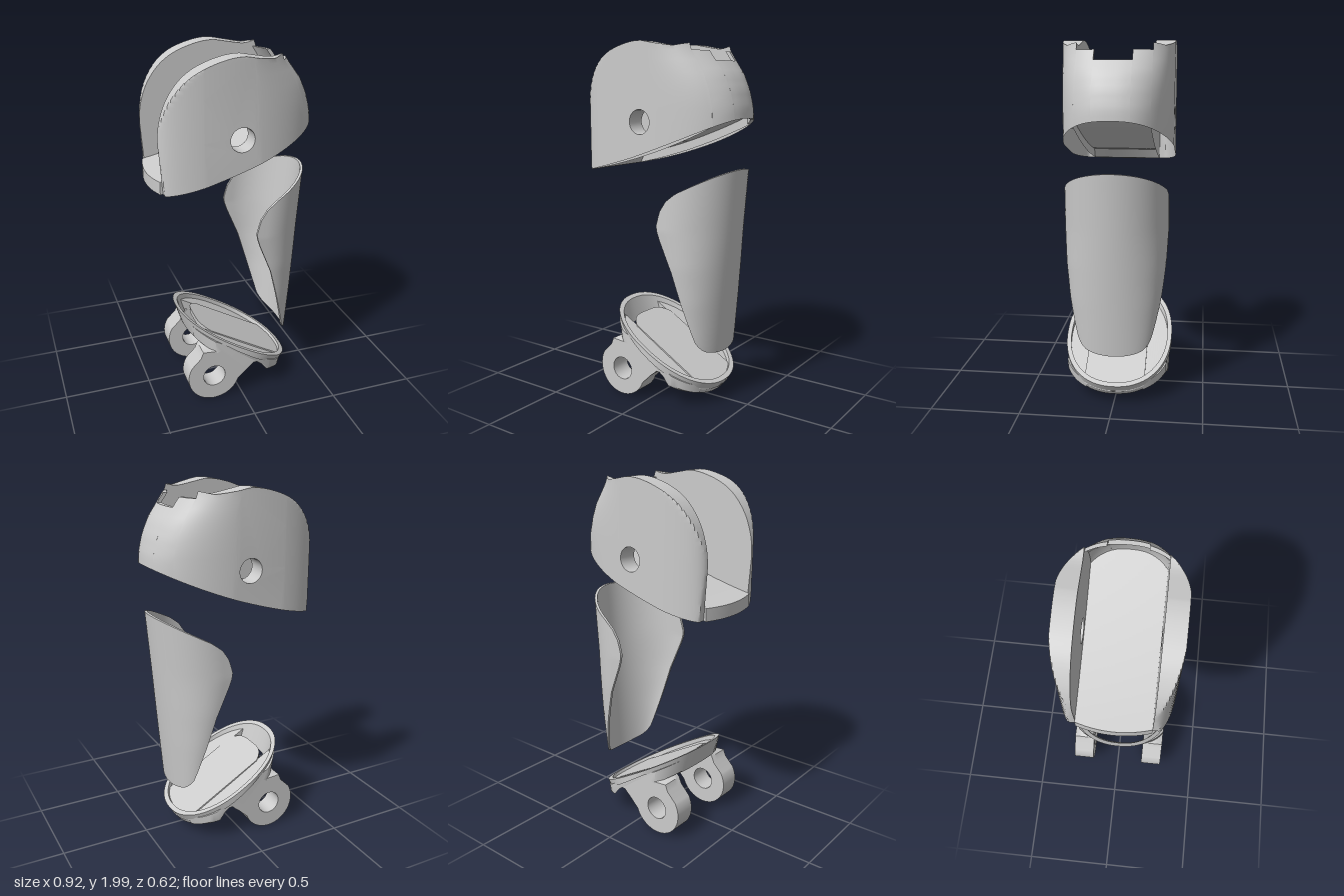
import * as THREE from 'three';
import { mergeGeometries, toCreasedNormals } from 'three/addons/utils/BufferGeometryUtils.js';

const material = new THREE.MeshStandardMaterial({ color: 0xcccccc, side: THREE.DoubleSide });
const { lerp, clamp, smoothstep } = THREE.MathUtils;

// Piecewise linear lookup in [key, value] pairs
function lookup(table, k) {
  for (let i = 1; i < table.length; i++) {
    const [a, b] = [table[i - 1], table[i]];
    if (k <= b[0]) return lerp(a[1], b[1], clamp((k - a[0]) / (b[0] - a[0]), 0, 1));
  }
  return table[table.length - 1][1];
}

function addMesh(parent, name, geometries) {
  const parts = geometries.map((g) => {
    const part = g.index ? g.toNonIndexed() : g;
    part.deleteAttribute('uv');
    part.deleteAttribute('normal');
    part.computeVertexNormals();
    return part;
  });
  const mesh = new THREE.Mesh(toCreasedNormals(mergeGeometries(parts), 0.6), material);
  mesh.name = name;
  parent.add(mesh);
  return mesh;
}

// Segmented box whose 0..1 coordinates are mapped by a rule
function warpBox(nx, ny, nz, rule) {
  const geo = new THREE.BoxGeometry(1, 1, 1, nx, ny, nz);
  const p = geo.attributes.position;
  for (let i = 0; i < p.count; i++) p.setXYZ(i, ...rule(p.getX(i) + 0.5, p.getY(i) + 0.5, p.getZ(i) + 0.5));
  return geo;
}

function flip(geo) {
  geo.index.array.reverse();
  return geo;
}

// Side cheek: outline lofted outward in z with a round hole through it;
// the first openEdges edges of the outline are left open
function cheek(outline, z0, z1, rule, hole, openEdges) {
  const rows = 14, n = outline.length, pos = [], idx = [];
  const zAt = (r) => z0 + (z1 - z0) * Math.sin((r / rows) * Math.PI / 2);
  for (let r = 0; r <= rows; r++) {
    for (const p of outline) pos.push(...rule(p.x, p.y, zAt(r)), zAt(r));
  }
  for (let r = 0; r < rows; r++) {
    for (let i = openEdges; i < n; i++) {
      const a = r * n + i, b = r * n + (i + 1) % n;
      idx.push(a, b, b + n, a, b + n, a + n);
    }
  }
  const wall = new THREE.BufferGeometry();
  wall.setAttribute('position', new THREE.Float32BufferAttribute(pos, 3));
  wall.setIndex(idx);
  const cap = (z) => {
    const shape = new THREE.Shape(outline.map((p) => new THREE.Vector2(...rule(p.x, p.y, z))));
    shape.holes.push(new THREE.Path().absarc(hole.x, hole.y, hole.r, 0, Math.PI * 2, true));
    return new THREE.ShapeGeometry(shape, 16).translate(0, 0, z);
  };
  const lining = new THREE.CylinderGeometry(hole.r, hole.r, z1 - z0, 32, 1, true);
  lining.rotateX(Math.PI / 2).translate(hole.x, hole.y, (z0 + z1) / 2);
  return [wall, cap(z1), flip(cap(z0)), flip(lining)];
}

function addCheeks(parent, name, geometries) {
  const left = addMesh(parent, name + 'Front', geometries);
  const right = left.clone();
  right.name = name + 'Back';
  right.scale.z = -1;
  parent.add(right);
}

// Upper housing: two hollow cheeks open below, nose wall with stepped notch, sloping floor
function buildHousing() {
  const group = new THREE.Group();
  group.name = 'upperHousing';
  const bottom = (x) => 1.41 + 0.337 * x + 0.165 * x * x;
  const taper = (z) => Math.sqrt(1 - Math.pow(Math.abs(z) / 0.31, 2.5));
  const nose = [[1.6, 0.46], [1.66, 0.455], [1.75, 0.43], [1.83, 0.392], [1.9, 0.338], [1.95, 0.3], [1.985, 0.285]];
  const noseTop = 0.285;
  const dip = [[0, 2], [0.08, 1.985], [0.17, 1.972], [0.23, 1.985]];

  const outline = [], bottomEdges = 24;
  for (let i = 0; i <= bottomEdges; i++) {
    const x = lerp(-0.415, 0.46, i / bottomEdges);
    outline.push(new THREE.Vector2(x, bottom(x)));
  }
  for (const [y, x] of nose.slice(1)) outline.push(new THREE.Vector2(x, y));
  const crown = [[0.285, 1.985], [0.24, 1.985], [0.17, 1.972], [0.08, 1.985], [0, 2], [-0.1, 1.99], [-0.22, 1.95],
    [-0.31, 1.89], [-0.38, 1.8], [-0.42, 1.7], [-0.435, 1.6], [-0.43, 1.5], [-0.42, 1.36]];
  outline.push(...new THREE.SplineCurve(crown.map((p) => new THREE.Vector2(...p))).getPoints(130).slice(1));

  const rule = (x, y, z) => {
    const back = -0.15 - 0.285 * Math.sqrt(1 - ((z - 0.2) / 0.11) ** 2);
    const nx = x >= noseTop ? x * taper(z) : clamp(x, back, noseTop * taper(z));
    if (Math.abs(y - bottom(x)) < 1e-4) return [nx, bottom(nx)];
    return [nx, clamp(y, bottom(nx), lookup(dip, nx))];
  };
  addCheeks(group, 'housingCheek', cheek(outline, 0.2, 0.307, rule, { x: -0.015, y: 1.58, r: 0.066 }, bottomEdges));

  const noseBand = (z0, z1, top) => warpBox(1, 12, 8, (a, b, c) => {
    const z = lerp(z0, z1, c), s = taper(z);
    const y = lerp(bottom(0.46 * s), top, b);
    return [(lookup(nose, y) - 0.025 * (1 - a)) * s, y, z];
  });
  addMesh(group, 'noseWall', [noseBand(-0.2, -0.1, 1.95), noseBand(-0.1, 0.1, 1.9), noseBand(0.1, 0.2, 1.95)]);

  addMesh(group, 'housingFloor', [warpBox(24, 1, 16, (a, b, c) => {
    const z = lerp(-0.2, 0.2, c);
    const x = lerp(-0.46 + 0.03 * (z / 0.2) ** 2, 0.43 * taper(z), a);
    return [x, bottom(x) + lerp(a < 0.06 ? 0 : 0.05, 0.07, b), z];
  })]);
  return group;
}

// Middle guard: thin U-section shell, its edges swept back at the sides
function buildGuard() {
  const low = [[0, 0.3], [0.04, 0.325], [0.075, 0.37], [0.156, 0.6], [0.222, 0.78], [0.307, 0.95], [0.328, 1], [0.334, 1.03]];
  const high = [[0, 1.33], [0.06, 1.3], [0.23, 1.21], [0.285, 1.165], [0.32, 1.105], [0.334, 1.03]];
  const width = [[0.3, 0.2], [0.4, 0.222], [0.6, 0.258], [0.8, 0.28], [1, 0.29], [1.33, 0.285]];
  const group = new THREE.Group();
  group.name = 'middleGuard';
  addMesh(group, 'guardShell', [warpBox(1, 24, 56, (a, b, c) => {
    const s = c * 2 - 1;
    const e = 0.334 * (1 - Math.cos(Math.PI * s)) / 2;
    const y = lerp(lookup(low, e), lookup(high, e), b);
    const q = Math.min(e / lerp(0.1, 0.28, clamp((y - 0.3) / 0.7, 0, 1)), 1);
    const z = Math.sign(s) * lookup(width, y) * Math.sqrt(1 - (1 - q) ** 2);
    const inset = 1 - a;
    return [0.35 + 0.0874 * (y - 0.3) - e - 0.015 * inset * (1 - q), y, z * (1 - 0.05 * inset)];
  })]);
  return group;
}

// Lower bracket: tilted oval rim, tread plate, two lugs with holes
function buildBracket() {
  const group = new THREE.Group();
  group.name = 'lowerBracket';
  const slope = (x) => 0.324 - 0.582 * x;
  const oval = (z) => Math.pow(1 - Math.pow(Math.abs(z) / 0.31, 2.2), 0.45);
  const power = (v) => Math.sign(v) * Math.pow(Math.abs(v), 0.9);

  addMesh(group, 'rim', [warpBox(1, 3, 72, (a, b, c) => {
    const phi = c * Math.PI * 2, inset = 0.025 * (1 - a), drop = 1 - b;
    const x = 0.015 + (0.335 - inset) * power(Math.cos(phi));
    const height = 0.035 + 0.095 * smoothstep(-x, 0.1, 0.3) + 0.03 * smoothstep(x, 0.15, 0.33);
    return [x * (1 - 0.13 * drop), slope(x) - drop * height, (0.31 - inset) * power(Math.sin(phi))];
  })]);

  addMesh(group, 'treadPlate', [warpBox(16, 1, 16, (a, b, c) => {
    const z = lerp(-0.17, 0.17, c);
    const x = lerp(-0.21 + 0.06 * Math.pow(z / 0.17, 4), 0.015 + 0.31 * oval(z), a);
    return [x, slope(x) - 0.055 + 0.035 * b, z];
  })]);

  const outline = [];
  for (let i = 0; i <= 28; i++) {
    const t = lerp(150, 340, i / 28) * Math.PI / 180;
    outline.push(new THREE.Vector2(-0.17 + 0.155 * Math.cos(t), 0.16 + 0.155 * Math.sin(t)));
  }
  const arm = [[0, 0.13], [0.03, 0.16], [0.06, 0.177], [0.1, 0.182], [0.15, 0.165], [0.21, 0.125], [0.28, 0.06],
    [0.31, 0.06], [0.325, 0.105]];
  const back = [[0, 0.295], [-0.15, 0.385], [-0.3, 0.47], [-0.28, 0.385], [-0.22, 0.375], [-0.235, 0.33], [-0.25, 0.292]];
  outline.push(...[...arm, ...back].map((p) => new THREE.Vector2(...p)));
  // Ends of each lug's web follow the oval rim along the slope
  const rule = (x, y, z) => {
    if (x < 0.05 && !(y > 0.37 && x < -0.05)) return [x, y];
    const base = 0.05 * Math.sign(x);
    const nx = base + (x - base) * oval(z);
    return [nx, y - 0.582 * (nx - x)];
  };
  addCheeks(group, 'bracketLug', cheek(outline, 0.16, 0.285, rule, { x: -0.17, y: 0.16, r: 0.066 }, 0));
  return group;
}

export function createModel() {
  const model = new THREE.Group();
  model.name = 'jointedLimbArmour';
  model.add(buildHousing(), buildGuard(), buildBracket());
  return model;
}
